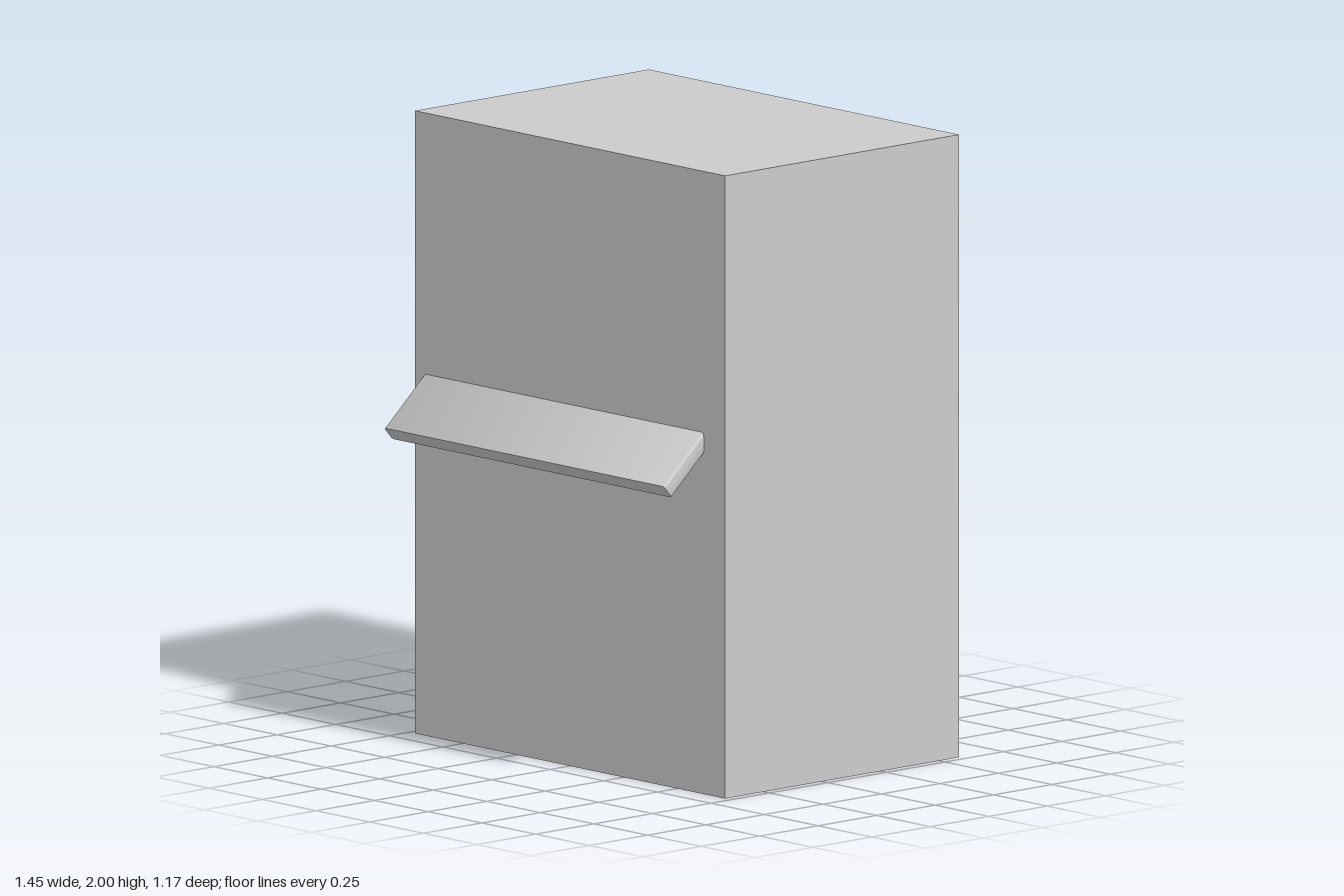
import * as THREE from 'three';
import { toCreasedNormals } from 'three/addons/utils/BufferGeometryUtils.js';

const material = new THREE.MeshStandardMaterial({ color: 0xcccccc });

// Cross-section of the ledge: a thin bar with softly rounded ends
function ledgeSection(x0, x1, thickness, r) {
  const h = thickness / 2;
  const s = new THREE.Shape();
  s.moveTo(x0 + r, -h);
  s.lineTo(x1 - r, -h);
  s.absarc(x1 - r, -h + r, r, -Math.PI / 2, 0);
  s.absarc(x1 - r, h - r, r, 0, Math.PI / 2);
  s.absarc(x0 + r, h - r, r, Math.PI / 2, Math.PI);
  s.absarc(x0 + r, -h + r, r, Math.PI, Math.PI * 1.5);
  return s;
}

export function createModel() {
  const group = new THREE.Group();

  // Plain upright cabinet
  const body = new THREE.Mesh(new THREE.BoxGeometry(1.447, 2, 1), material);
  body.name = 'cabinetBody';
  body.position.set(0, 1, -0.085);
  group.add(body);

  // Sloping ledge on the front, its upper edge sunk into the cabinet
  const length = 0.28;
  const geometry = new THREE.ExtrudeGeometry(ledgeSection(-0.682, 0.624, 0.053, 0.01), {
    depth: length, bevelEnabled: false, curveSegments: 5,
  });
  geometry.translate(0, 0, -length);
  const ledge = new THREE.Mesh(toCreasedNormals(geometry, 0.8), material);
  ledge.name = 'slopingLedge';
  ledge.position.set(0, 0.99, 0.568);
  ledge.rotation.x = 0.725;
  group.add(ledge);

  return group;
}
